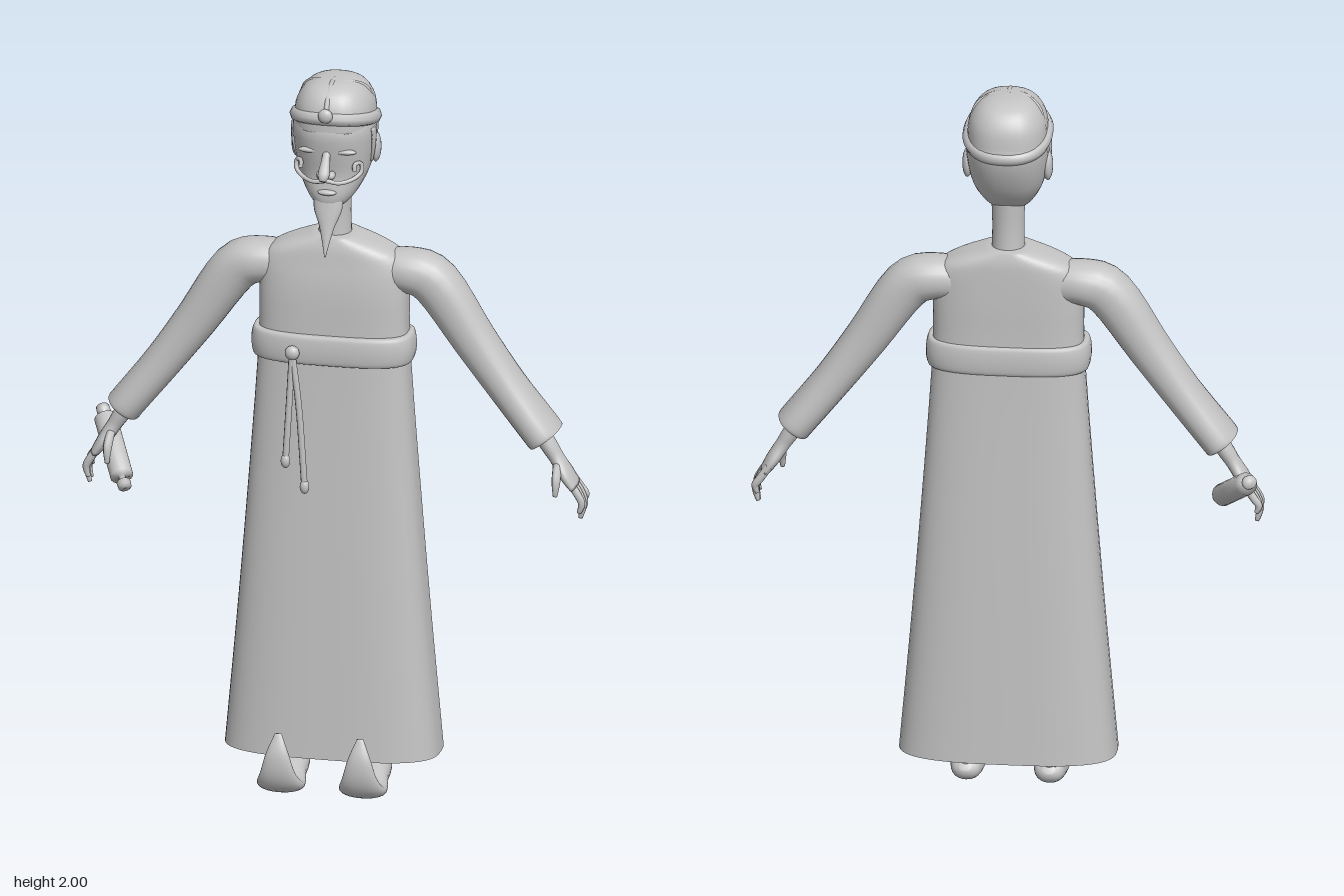
import * as THREE from 'three';

const clay = new THREE.MeshStandardMaterial({ color: 0xc4c4c4, side: THREE.DoubleSide });
clay.name = 'plain grey';
const V = (x, y, z) => new THREE.Vector3(x, y, z);

function add(parent, name, geometry) {
  const mesh = new THREE.Mesh(geometry, clay);
  mesh.name = name;
  parent.add(mesh);
  return mesh;
}

// Smooth interpolation of every column of the rows
function resample(rows, sub) {
  const out = [], last = rows.length - 1;
  for (let i = 0; i < last; i++) {
    const [p, q, r, s] = [rows[Math.max(i - 1, 0)], rows[i], rows[i + 1], rows[Math.min(i + 2, last)]];
    for (let k = 0; k < sub; k++) {
      const t = k / sub;
      out.push(q.map((b, c) => b + 0.5 * t * (r[c] - p[c] +
        t * (2 * p[c] - 5 * b + 4 * r[c] - s[c] + t * (3 * (b - r[c]) + s[c] - p[c])))));
    }
  }
  out.push(rows[last]);
  return out;
}

// Skin over superellipse sections; row = [x, y, z, half width, half depth]
function loft(rows, { side = V(1, 0, 0), flat = false, n = 2, segs = 24, sub = 4, start = true, end = true } = {}) {
  const rs = resample(rows, sub), pos = [], idx = [];
  const at = i => V(...rs[Math.min(Math.max(i, 0), rs.length - 1)].slice(0, 3));
  rs.forEach((r, i) => {
    const t = flat ? V(0, 1, 0) : at(i + 1).sub(at(i - 1)).normalize();
    const s = side.clone().addScaledVector(t, -side.dot(t)).normalize();
    const o = t.clone().cross(s);
    for (let j = 0; j < segs; j++) {
      const a = j / segs * Math.PI * 2, c = Math.cos(a), d = Math.sin(a);
      const f = v => Math.sign(v) * Math.abs(v) ** (2 / n);
      const p = at(i).addScaledVector(s, r[3] * f(c)).addScaledVector(o, r[4] * f(d));
      pos.push(p.x, p.y, p.z);
      if (i < rs.length - 1) {
        const k = i * segs + j, m = i * segs + (j + 1) % segs;
        idx.push(k, m, m + segs, k, m + segs, k + segs);
      }
    }
  });
  const cap = (i, flip) => {
    const c = pos.length / 3;
    pos.push(...rs[i].slice(0, 3));
    for (let j = 0; j < segs; j++) {
      const a = i * segs + j, b = i * segs + (j + 1) % segs;
      idx.push(c, flip ? b : a, flip ? a : b);
    }
  };
  if (start) cap(0, true);
  if (end) cap(rs.length - 1, false);
  const g = new THREE.BufferGeometry();
  g.setAttribute('position', new THREE.Float32BufferAttribute(pos, 3));
  g.setIndex(idx);
  g.computeVertexNormals();
  return g;
}

const tube = (pts, r, closed = false) => new THREE.TubeGeometry(
  new THREE.CatmullRomCurve3(pts.map(p => V(...p)), closed), closed ? 64 : 24, r, 8, closed);

function ball(parent, name, p, r) {
  const m = add(parent, name, new THREE.SphereGeometry(1, 16, 12));
  m.position.set(...p);
  m.scale.set(...r);
  return m;
}

function buildRobe(g) {
  add(g, 'robe', loft([
    [0, 0.1, -0.033, 0.293, 0.137], [0, 0.6, -0.034, 0.25, 0.115], [0, 1.2, -0.035, 0.206, 0.087],
    [0, 1.4, -0.037, 0.202, 0.084], [0, 1.49, -0.042, 0.193, 0.078], [0, 1.53, -0.044, 0.14, 0.074],
    [0, 1.56, -0.045, 0.05, 0.066]], { flat: true, n: 3, segs: 48, start: false }));
  add(g, 'belt', loft([
    [0, 1.21, -0.03, 0.2, 0.085], [0, 1.213, -0.03, 0.216, 0.098], [0, 1.25, -0.03, 0.222, 0.102],
    [0, 1.287, -0.03, 0.216, 0.098], [0, 1.29, -0.03, 0.2, 0.085]], { flat: true, n: 3, segs: 48 }));
  // Knotted cord hanging from the belt
  ball(g, 'beltKnot', [-0.092, 1.245, 0.078], [0.02, 0.02, 0.016]);
  for (const [x, y] of [[-0.108, 0.94], [-0.056, 0.87]]) {
    add(g, 'cord', tube([[-0.092, 1.245, 0.078], [-0.09 + (x + 0.09) * 0.5, 1.1, 0.084], [x, y, 0.088]], 0.009));
    ball(g, 'cordTip', [x, y, 0.088], [0.013, 0.02, 0.013]);
  }
}

function buildHead(g) {
  add(g, 'neck', loft([
    [0, 1.53, -0.045, 0.046, 0.048], [0, 1.62, -0.045, 0.043, 0.043], [0, 1.74, -0.045, 0.048, 0.05]], { flat: true }));
  add(g, 'head', loft([
    [0, 1.652, 0.02, 0.025, 0.03], [0, 1.67, 0.0, 0.05, 0.062], [0, 1.7, -0.018, 0.073, 0.083],
    [0, 1.75, -0.04, 0.096, 0.1], [0, 1.82, -0.05, 0.109, 0.122], [0, 1.88, -0.052, 0.111, 0.128],
    [0, 1.95, -0.055, 0.09, 0.1]], { flat: true, n: 2.3, segs: 32 }));
  // Soft cap with tilted band, seams and jewel
  add(g, 'cap', loft([
    [0, 1.87, -0.052, 0.108, 0.128], [0, 1.93, -0.05, 0.104, 0.123], [0, 1.972, -0.048, 0.082, 0.1],
    [0, 1.993, -0.045, 0.048, 0.06], [0, 1.998, -0.042, 0.01, 0.015]], { flat: true, n: 2.4, segs: 32 }));
  const band = [];
  for (let i = 0; i < 24; i++) {
    const a = i / 24 * Math.PI * 2, f = v => Math.sign(v) * Math.abs(v) ** 0.85, s = f(Math.sin(a));
    band.push([0.101 * f(Math.cos(a)), 1.888 + 0.028 * s, -0.051 + 0.117 * s]);
  }
  add(g, 'capBand', tube(band, 0.02, true));
  add(g, 'capSideSeam', tube([[-0.1, 1.91, -0.08], [-0.083, 1.966, -0.06], [-0.045, 1.988, -0.035], [0, 1.99, -0.015],
    [0.045, 1.988, -0.035], [0.083, 1.966, -0.06], [0.1, 1.91, -0.08]], 0.007));
  add(g, 'capFrontSeam', tube([[0, 1.93, 0.075], [0, 1.965, 0.05], [0, 1.988, 0.01], [0, 1.992, -0.04]], 0.008));
  ball(g, 'capJewel', [0, 1.93, 0.085], [0.02, 0.02, 0.013]);
  // Face
  add(g, 'nose', loft([
    [0, 1.825, 0.06, 0.01, 0.008], [0, 1.8, 0.082, 0.012, 0.012], [0, 1.77, 0.108, 0.016, 0.014],
    [0, 1.755, 0.118, 0.008, 0.007]], { segs: 12 }));
  ball(g, 'lips', [0, 1.705, 0.064], [0.026, 0.008, 0.012]);
  for (const k of [1, -1]) {
    ball(g, 'nostril', [0.016 * k, 1.76, 0.078], [0.01, 0.011, 0.018]);
    ball(g, 'brow', [0.045 * k, 1.822, 0.058], [0.035, 0.008, 0.012]);
    ball(g, 'ear', [0.108 * k, 1.8, -0.06], [0.014, 0.042, 0.026]);
    add(g, 'sideburn', loft([[0.109 * k, 1.87, -0.025, 0.006, 0.025], [0.109 * k, 1.82, -0.025, 0.006, 0.015],
      [0.102 * k, 1.77, -0.03, 0.004, 0.004]], { flat: true, segs: 10 }));
    add(g, 'moustache', tube([[0, 1.742, 0.075], [0.035 * k, 1.737, 0.072], [0.07 * k, 1.745, 0.054],
      [0.089 * k, 1.762, 0.038], [0.087 * k, 1.784, 0.034], [0.073 * k, 1.785, 0.05], [0.074 * k, 1.768, 0.055]], 0.006));
  }
  add(g, 'beard', loft([
    [0, 1.685, 0.045, 0.04, 0.016], [0, 1.65, 0.05, 0.038, 0.018], [0, 1.61, 0.063, 0.022, 0.013],
    [0, 1.57, 0.076, 0.011, 0.008], [0, 1.53, 0.089, 0.002, 0.002]], { flat: true, segs: 14 }));
}

function buildArm(g, k) {
  const side = V(0, 0, 1), z = -0.047;
  const arm = (rows, opt) => loft(rows.map(([x, y, dz, a, b]) => [x * k, y, z + dz, a, b]), { side, ...opt });
  add(g, 'sleeve', arm([
    [0.12, 1.455, 0, 0.055, 0.055], [0.2, 1.46, 0, 0.07, 0.06], [0.275, 1.428, 0, 0.067, 0.066], [0.38, 1.275, 0, 0.062, 0.058],
    [0.47, 1.15, 0, 0.066, 0.052], [0.56, 1.035, 0, 0.078, 0.05], [0.576, 1.014, 0, 0.073, 0.05]], { start: false, end: false, n: 2.2 }));
  add(g, 'hand', arm([
    [0.52, 1.09, 0, 0.026, 0.024], [0.58, 0.995, 0, 0.027, 0.023], [0.605, 0.955, 0, 0.026, 0.02],
    [0.63, 0.915, 0, 0.041, 0.019], [0.653, 0.88, -0.003, 0.042, 0.014]], { segs: 16 }));
  [[0.022, 0.81], [0.004, 0.79], [-0.016, 0.795], [-0.035, 0.825]].forEach(([dz, y]) => {
    add(g, 'finger', arm([
      [0.64, 0.9, dz * 0.9, 0.011, 0.011], [0.664, 0.865, dz, 0.011, 0.011],
      [0.677, (y + 0.865) / 2, dz, 0.01, 0.01], [0.67, y, dz, 0.006, 0.006]], { segs: 8 }));
  });
  add(g, 'thumb', arm([
    [0.61, 0.94, 0.02, 0.013, 0.012], [0.613, 0.905, 0.05, 0.013, 0.012], [0.612, 0.865, 0.058, 0.006, 0.006]], { segs: 8 }));
}

function buildFoot(g, k) {
  const x = 0.112 * k;
  add(g, 'shoe', loft([
    [x, 0.055, -0.08, 0.015, 0.012], [x, 0.047, -0.065, 0.038, 0.035], [x, 0.042, -0.02, 0.046, 0.041],
    [x, 0.036, 0.04, 0.05, 0.035], [x, 0.031, 0.1, 0.062, 0.026], [x, 0.042, 0.145, 0.062, 0.024],
    [x, 0.08, 0.17, 0.047, 0.018], [x, 0.135, 0.174, 0.031, 0.013], [x, 0.188, 0.161, 0.009, 0.005]], { n: 2.2 }));
  add(g, 'leg', loft([[x, 0.04, -0.04, 0.038, 0.036], [x, 0.2, -0.04, 0.046, 0.046], [0.1 * k, 0.55, -0.035, 0.06, 0.06]], { flat: true, segs: 16 }));
}

// Rolled scroll held in the right hand
function buildScroll(g) {
  const a = V(-0.665, 0.955, -0.178), b = V(-0.555, 0.812, 0.046), d = b.clone().sub(a), L = d.length();
  const profile = [[0, 0], [0.018, 0.003], [0.019, 0.02], [0.009, 0.028], [0.009, 0.042], [0.031, 0.042], [0.031, L / 2]];
  const pts = [...profile, ...profile.slice(0, -1).reverse().map(([r, h]) => [r, L - h])];
  const m = add(g, 'scroll', new THREE.LatheGeometry(pts.map(p => new THREE.Vector2(...p)), 20));
  m.position.copy(a);
  m.quaternion.setFromUnitVectors(V(0, 1, 0), d.normalize());
}

export function createModel() {
  const model = new THREE.Group();
  model.name = 'robedMan';
  const part = (name, build, ...args) => {
    const g = new THREE.Group();
    g.name = name;
    build(g, ...args);
    model.add(g);
  };
  part('robeAndBelt', buildRobe);
  part('headAndCap', buildHead);
  for (const [name, k] of [['left', 1], ['right', -1]]) {
    part(name + 'Arm', buildArm, k);
    part(name + 'Leg', buildFoot, k);
  }
  part('heldScroll', buildScroll);
  return model;
}
